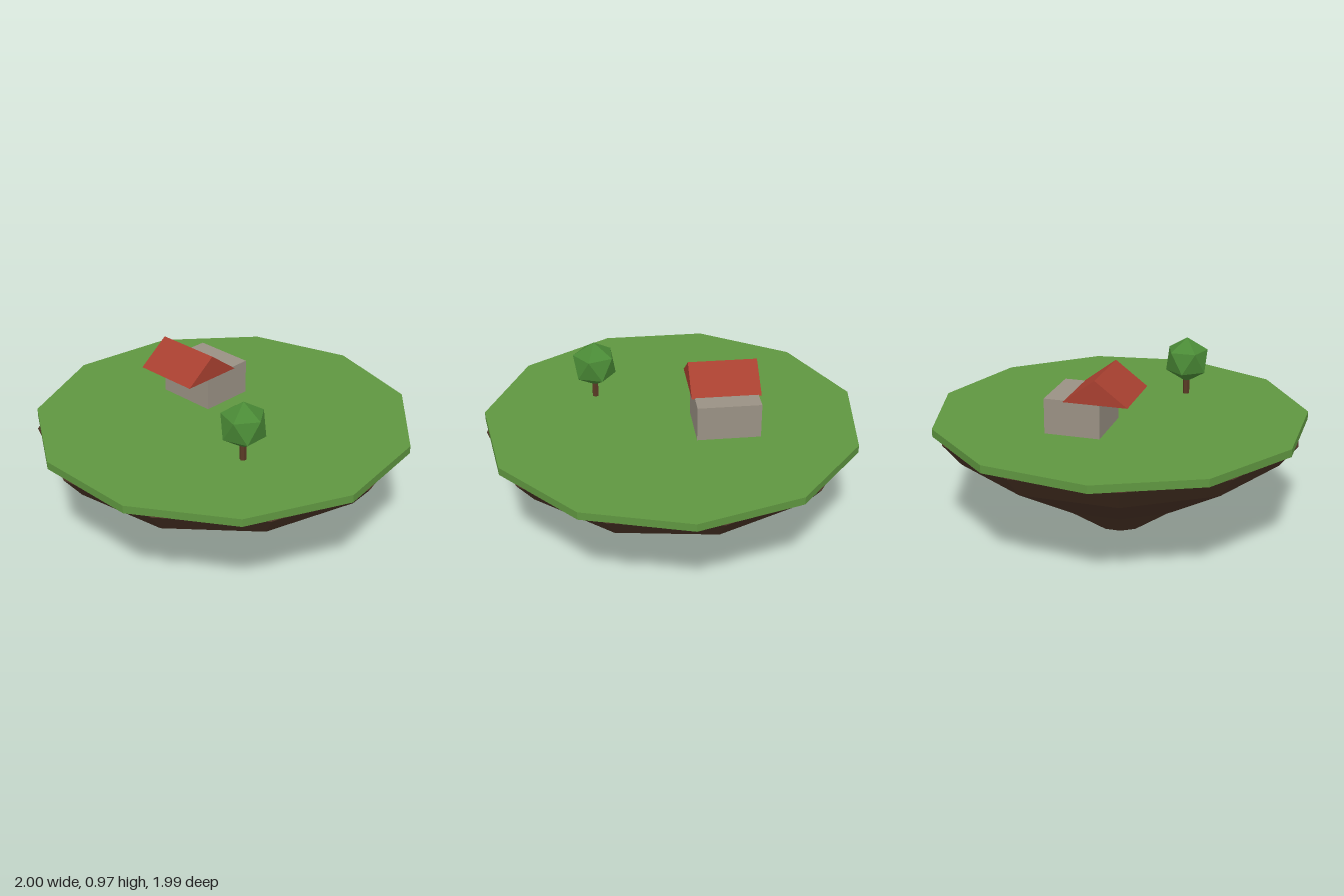
import * as THREE from 'three';

const SIDES = 11;

function mesh(name, geometry, color, x, y, z) {
  const material = new THREE.MeshStandardMaterial({ color, flatShading: true });
  const m = new THREE.Mesh(geometry, material);
  m.name = name;
  m.position.set(x, y, z);
  return m;
}

export function createModel() {
  const island = new THREE.Group();
  island.name = 'floatingIsland';

  // Tapering rock underside, closed at both ends, with a corner facing +x
  const profile = [[0, 0], [0.152, 0], [0.45, 0.21], [0.894, 0.48], [0.99, 0.6], [0, 0.6]]
    .map(([r, y]) => new THREE.Vector2(r, y));
  const rock = new THREE.LatheGeometry(profile, SIDES, Math.PI / 2);
  island.add(mesh('rock', rock, 0x4a3325, 0, 0, 0.012));

  // Grass slab, with a corner facing the back
  const grass = new THREE.CylinderGeometry(1.01, 1.01, 0.042, SIDES, 1, false, Math.PI);
  island.add(mesh('grass', grass, 0x5f9640, 0, 0.62, 0.01));

  // House: stone walls and a gabled roof set forward of them
  const house = new THREE.Group();
  house.name = 'house';
  house.add(mesh('walls', new THREE.BoxGeometry(0.335, 0.19, 0.295), 0x9a9184, -0.267, 0.734, -0.116));

  const gable = new THREE.Shape();
  gable.moveTo(-0.17, 0);
  gable.lineTo(0.17, 0);
  gable.lineTo(0, 0.128);
  gable.closePath();
  const roof = new THREE.ExtrudeGeometry(gable, { depth: 0.367, bevelEnabled: false });
  roof.translate(0, 0, -0.367 / 2).rotateY(Math.PI / 2);
  house.add(mesh('roof', roof, 0xa84030, -0.267, 0.826, 0.012));
  island.add(house);

  // Tree: trunk and a faceted crown standing on one corner
  const tree = new THREE.Group();
  tree.name = 'tree';
  tree.add(mesh('trunk', new THREE.CylinderGeometry(0.018, 0.018, 0.12, 6), 0x5a3a25, 0.395, 0.69, 0.278));
  const crown = new THREE.IcosahedronGeometry(0.128, 0);
  crown.rotateZ(-Math.atan(2 / (1 + Math.sqrt(5))));
  tree.add(mesh('crown', crown, 0x4a8a36, 0.395, 0.837, 0.278));
  island.add(tree);

  return island;
}
